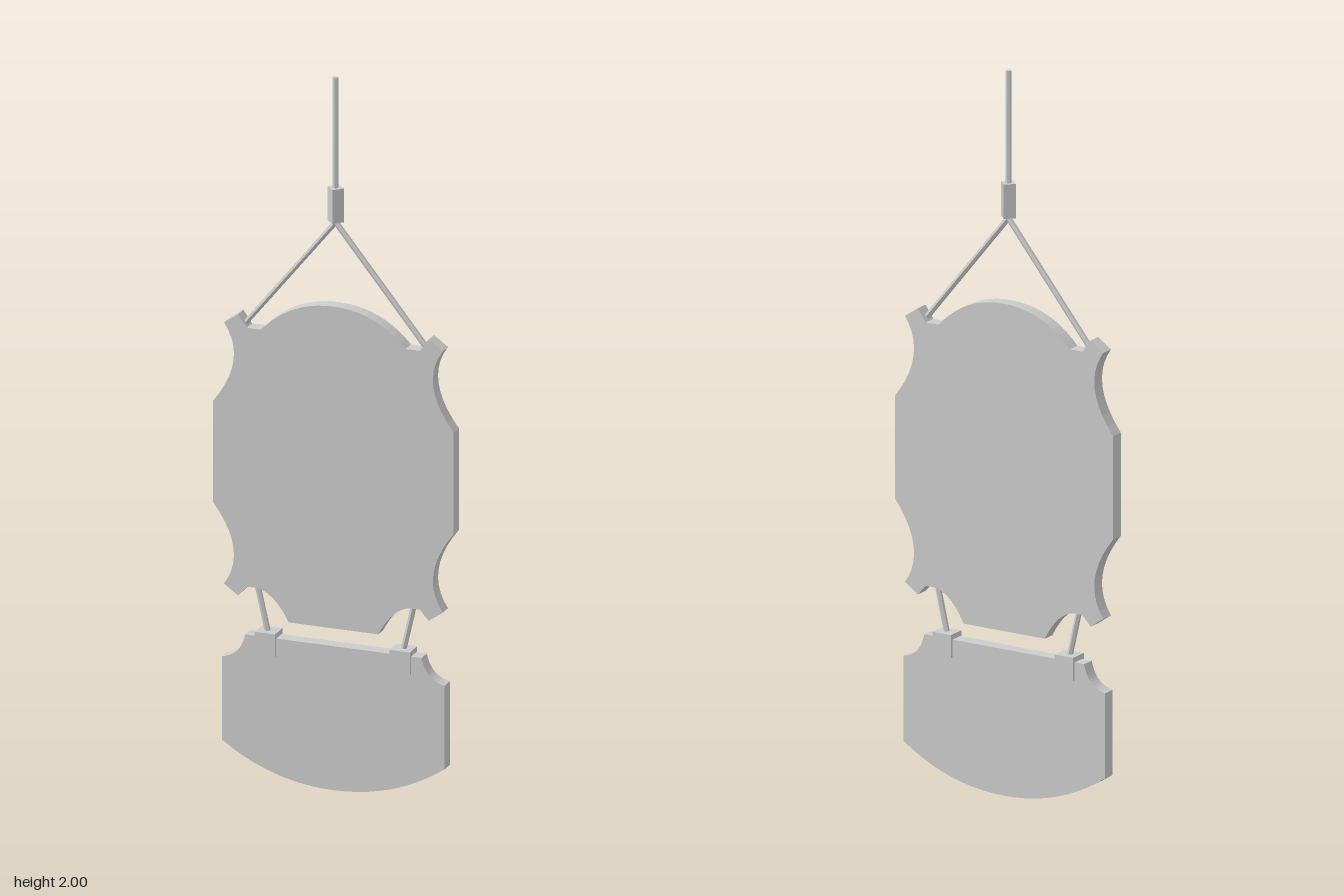
import * as THREE from 'three';

const material = new THREE.MeshStandardMaterial({ color: 0xcccccc, flatShading: true });
const MID_Z = -0.002;
const THICK = 0.038;

function add(group, name, geometry) {
  const mesh = new THREE.Mesh(geometry, material);
  mesh.name = name;
  group.add(mesh);
  return mesh;
}

// Symmetrical flat board; each step is [x, y] for a line or [cx, cy, x, y] for a curve
function board(start, steps) {
  const path = new THREE.Path().moveTo(...start);
  for (const s of steps) s.length === 2 ? path.lineTo(...s) : path.quadraticCurveTo(...s);
  const half = path.getPoints(10);
  const mirrored = half.filter((p) => p.x > 1e-4).reverse().map((p) => new THREE.Vector2(-p.x, p.y));
  const geometry = new THREE.ExtrudeGeometry(new THREE.Shape([...half, ...mirrored]), {
    depth: THICK, bevelEnabled: false,
  });
  return geometry.translate(0, 0, MID_Z - THICK / 2);
}

// Straight cord between two points in the plane of the boards
function cord(group, name, x1, y1, x2, y2, radius = 0.008) {
  const dx = x2 - x1, dy = y2 - y1;
  const mesh = add(group, name, new THREE.CylinderGeometry(radius, radius, Math.hypot(dx, dy), 6));
  mesh.position.set((x1 + x2) / 2, (y1 + y2) / 2, 0);
  mesh.rotation.z = Math.atan2(-dx, dy);
}

export function createModel() {
  const model = new THREE.Group();
  model.name = 'hangingSign';

  // Main board with scalloped sides and notched corners
  add(model, 'mainBoard', board([0, 1.36], [
    [0.123, 1.36, 0.205, 1.268],
    [0.245, 1.268], [0.27, 1.303], [0.31, 1.275],
    [0.241, 1.178, 0.341, 1.05],
    [0.341, 0.765],
    [0.241, 0.638, 0.31, 0.54],
    [0.27, 0.512], [0.245, 0.54], [0.215, 0.54],
    [0.165, 0.53, 0.127, 0.455],
    [0, 0.455],
  ]));

  // Smaller board with a curved bottom
  add(model, 'lowerBoard', board([0, 0.405], [
    [0.25, 0.405],
    [0.262, 0.345, 0.315, 0.335],
    [0.315, 0.1],
    [0.173, 0, 0, 0],
  ]));

  // Cords and clips on both sides
  for (const side of [-1, 1]) {
    cord(model, 'upperCord', 0, 1.592, side * 0.256, 1.275);
    cord(model, 'lowerCord', side * 0.223, 0.55, side * 0.19, 0.405);
    add(model, 'clip', new THREE.BoxGeometry(0.058, 0.064, 0.053))
      .position.set(side * 0.191, 0.387, -0.0015);
  }

  // Hanging cord and its four-sided ferrule
  cord(model, 'hangingCord', 0, 1.66, 0, 2);
  add(model, 'ferrule', new THREE.CylinderGeometry(0.023, 0.023, 0.095, 4)).position.y = 1.642;

  return model;
}
